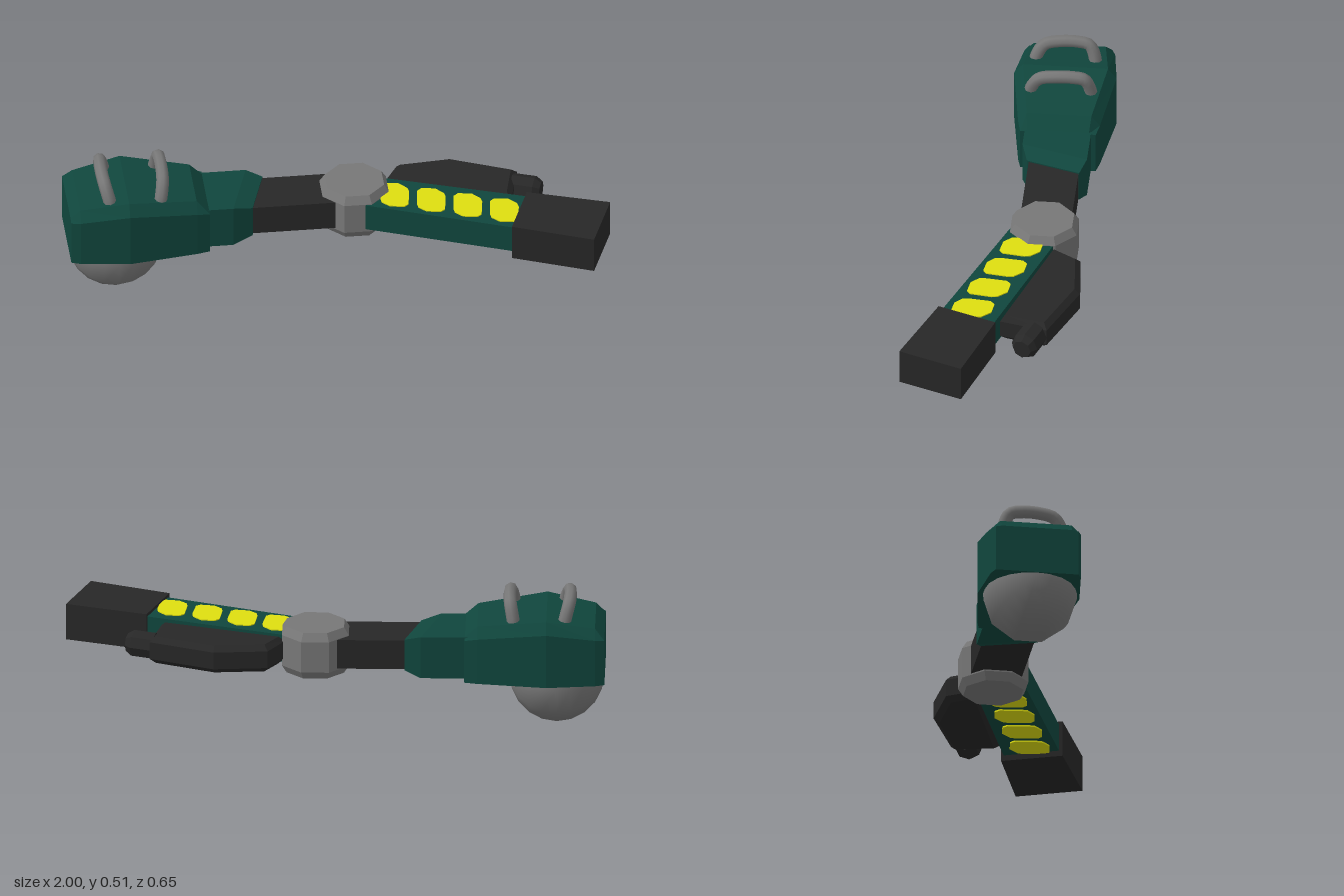
import * as THREE from 'three';

const paint = (name, color, flat = true) => {
  const m = new THREE.MeshStandardMaterial({ color, flatShading: flat });
  m.name = name;
  return m;
};

// Skin a row of rings [x, y, z]; each ring runs counter-clockwise seen from +x
function loft(rings) {
  const pos = [];
  const tri = (...pts) => pts.forEach(p => pos.push(...p));
  const n = rings[0].length;
  for (let k = 0; k < rings.length - 1; k++) {
    const a = rings[k], b = rings[k + 1];
    for (let i = 0; i < n; i++) {
      const j = (i + 1) % n;
      tri(a[i], a[j], b[j]);
      tri(a[i], b[j], b[i]);
    }
  }
  const s = rings[0], e = rings[rings.length - 1];
  for (let i = 1; i < n - 1; i++) {
    tri(s[0], s[i + 1], s[i]);
    tri(e[0], e[i], e[i + 1]);
  }
  const g = new THREE.BufferGeometry();
  g.setAttribute('position', new THREE.Float32BufferAttribute(pos, 3));
  g.computeVertexNormals();
  return g;
}

// Rectangular ring, slanted along x by skew
const rect = (x, zc, hw, y0, y1, skew = 0) => [
  [x + skew * hw, y0, zc - hw], [x + skew * hw, y1, zc - hw],
  [x - skew * hw, y1, zc + hw], [x - skew * hw, y0, zc + hw]];

// Flat outline (x, z) extruded downwards from y = 0
function slab(points, depth, bevel = 0) {
  const shape = new THREE.Shape(points.map(p => new THREE.Vector2(...p)));
  return new THREE.ExtrudeGeometry(shape, {
    depth, bevelEnabled: bevel > 0, bevelThickness: bevel, bevelSize: bevel,
    bevelOffset: -bevel, bevelSegments: 1,
  }).rotateX(Math.PI / 2);
}

export function createModel() {
  const green = paint('dark green', 0x10463d);
  const black = paint('charcoal', 0x272727);
  const grey = paint('grey', 0x777777);
  const smoothGrey = grey.clone();
  smoothGrey.flatShading = false;
  const yellow = paint('yellow', 0xdede10);

  const model = new THREE.Group();
  model.name = 'mechanicalArm';
  const add = (parent, name, geo, mat, x = 0, y = 0, z = 0) => {
    const m = new THREE.Mesh(geo, mat);
    m.name = name;
    m.position.set(x, y, z);
    parent.add(m);
    return m;
  };
  const ZC = -0.137;

  // Shoulder armour: x, half width, side height, top height, top half width
  const shoulder = [
    [-1, 0.155, 0.36, 0.365, 0.13],
    [-0.965, 0.168, 0.365, 0.4, 0.133],
    [-0.785, 0.19, 0.392, 0.433, 0.158],
    [-0.53, 0.152, 0.36, 0.4, 0.12],
    [-0.482, 0.14, 0.35, 0.355, 0.115],
  ].map(([x, w, ys, yt, tw]) => [
    [x, 0.185, ZC - w], [x, ys, ZC - w], [x, yt, ZC - tw],
    [x, yt, ZC + tw], [x, ys, ZC + w], [x, 0.185, ZC + w]]);
  add(model, 'shoulderArmour', loft(shoulder), green);

  // Shoulder ball, poles along x
  const ball = new THREE.SphereGeometry(0.175, 10, 10).rotateZ(Math.PI / 2).rotateX(Math.PI / 2);
  add(model, 'shoulderBall', ball, smoothGrey, -0.822, 0.168, ZC);

  // Two handles leaning outwards
  for (const [name, x, lean] of [['outerHandle', -0.845, -0.027], ['innerHandle', -0.667, 0.018]]) {
    const path = new THREE.CatmullRomCurve3([
      [0, -0.02, 0.118], [0.3, 0.02, 0.115], [0.8, 0.068, 0.085], [1, 0.082, 0.03],
      [1, 0.084, -0.04], [0.85, 0.074, -0.083], [0.3, 0.02, -0.105], [0, -0.02, -0.106],
    ].map(([t, y, z]) => new THREE.Vector3(x + t * lean, 0.402 + y, ZC + z)));
    add(model, name, new THREE.TubeGeometry(path, 24, 0.024, 8), smoothGrey);
  }

  // Upper arm collar with a slanted tapered cuff, and the arm inside it
  add(model, 'upperArmCollar', loft([
    rect(-0.54, ZC, 0.123, 0.195, 0.357),
    rect(-0.357, ZC, 0.123, 0.195, 0.357, 0.3),
    rect(-0.29, ZC, 0.1, 0.217, 0.338, 0.3)]), green);
  add(model, 'upperArm', new THREE.BoxGeometry(0.36, 0.113, 0.19), black, -0.16, 0.277, -0.139);

  // Octagonal elbow with bevelled rims
  const elbow = new THREE.LatheGeometry(
    [[0, -0.09], [0.115, -0.09], [0.134, -0.06], [0.134, 0.06], [0.115, 0.09], [0, 0.09]]
      .map(p => new THREE.Vector2(...p)), 8).rotateY(Math.PI / 8);
  add(model, 'elbow', elbow, grey, 0.07, 0.275, -0.139);

  // Forearm turned forwards about the elbow; x runs along it
  const forearm = new THREE.Group();
  forearm.name = 'forearm';
  forearm.position.set(0.07, 0, -0.14);
  forearm.rotation.y = -THREE.MathUtils.degToRad(20.3);
  model.add(forearm);

  add(forearm, 'forearmBeam', loft([
    rect(0.07, 0.014, 0.095, 0.227, 0.333),
    rect(0.66, 0.014, 0.105, 0.227, 0.333)]), green);
  add(forearm, 'handBlock', loft([
    rect(0.632, 0.016, 0.116, 0.205, 0.345),
    rect(0.947, 0.016, 0.126, 0.205, 0.345)]), black);

  // Yellow markings above and below the beam
  const mark = [[-0.066, -0.045], [-0.055, -0.066], [-0.005, -0.077], [0.035, -0.055], [0.046, -0.035],
    [0.063, 0.045], [0.052, 0.062], [0, 0.072], [-0.036, 0.055], [-0.046, 0.035]];
  for (let i = 0; i < 4; i++) {
    const x = 0.16 + i * 0.139;
    add(forearm, 'topMarking', slab(mark, 0.006), yellow, x, 0.337, 0.022);
    add(forearm, 'bottomMarking', slab(mark, 0.008), yellow, x, 0.229, 0.022);
  }

  // Side-mounted launcher and its octagonal muzzle
  const body = [[0.09, -0.075], [0.112, -0.2], [0.294, -0.285], [0.552, -0.272], [0.575, -0.092]];
  add(forearm, 'launcherBody', slab(body, 0.066, 0.02), black, 0, 0.308, 0);
  const muzzle = new THREE.LatheGeometry(
    [[0, -0.06], [0.052, -0.06], [0.052, 0.025], [0.036, 0.05], [0, 0.05]]
      .map(p => new THREE.Vector2(...p)), 8).rotateZ(-Math.PI / 2);
  add(forearm, 'launcherMuzzle', muzzle, black, 0.607, 0.275, -0.22);

  return model;
}
